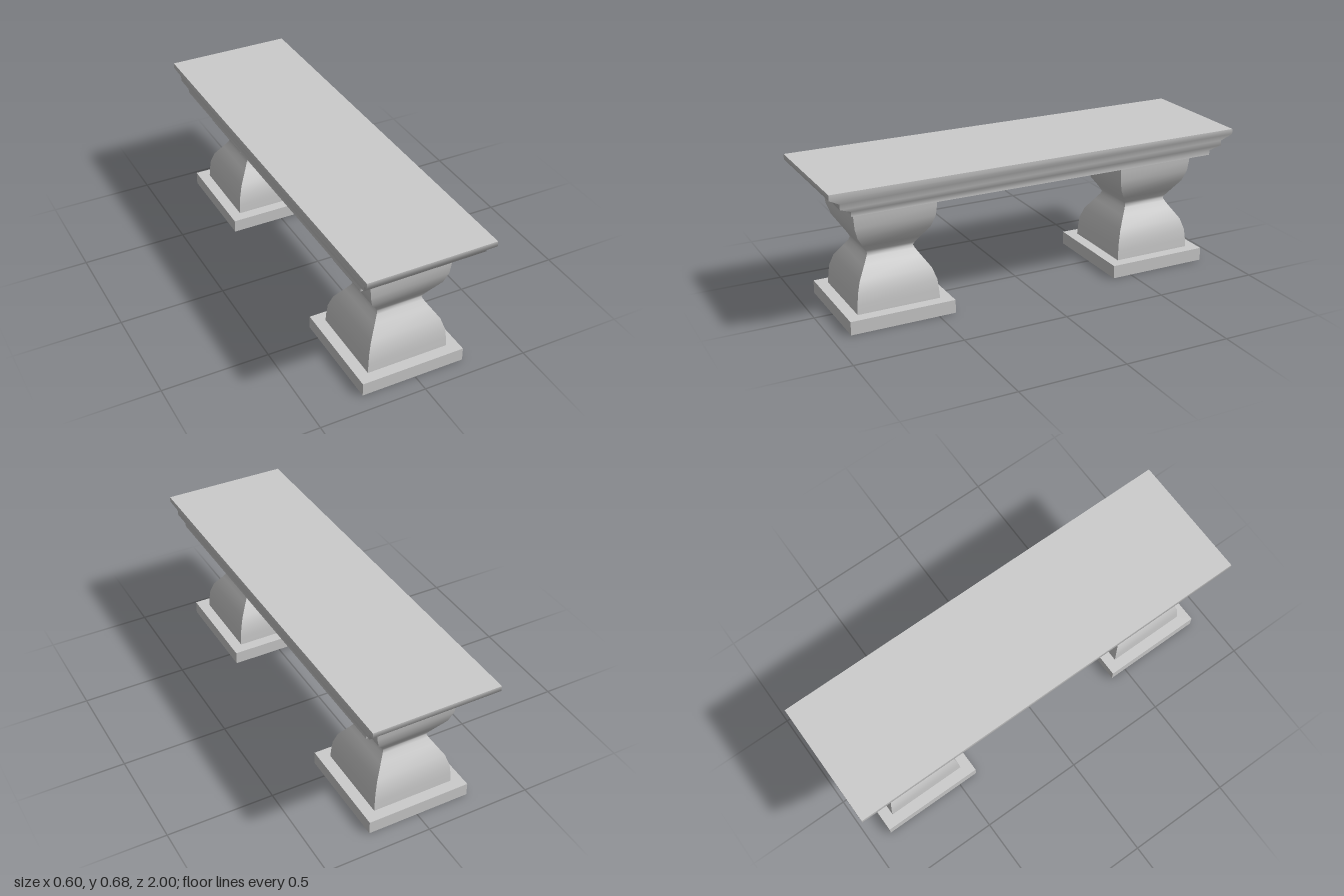
import * as THREE from 'three';

const material = new THREE.MeshStandardMaterial({ color: 0xcccccc });
const CORNERS = [[1, 1], [1, -1], [-1, -1], [-1, 1]];

// Rectangular loft through rows of [y, halfX, halfZ]: smooth up each side, sharp at corners and caps.
function loft(rows) {
  const positions = [];
  const indices = [];
  const addPoint = ([y, hx, hz], [sx, sz]) => positions.push(sx * hx, y, sz * hz);

  CORNERS.forEach((corner, side) => {
    const start = positions.length / 3;
    rows.forEach((row, i) => {
      addPoint(row, corner);
      addPoint(row, CORNERS[(side + 1) % 4]);
      if (i === 0) return;
      const a = start + 2 * (i - 1);
      indices.push(a, a + 1, a + 3, a, a + 3, a + 2);
    });
  });

  // Bottom and top caps
  [[rows[0], false], [rows[rows.length - 1], true]].forEach(([row, up]) => {
    const s = positions.length / 3;
    CORNERS.forEach((corner) => addPoint(row, corner));
    if (up) indices.push(s, s + 1, s + 2, s, s + 2, s + 3);
    else indices.push(s, s + 2, s + 1, s, s + 3, s + 2);
  });

  const geometry = new THREE.BufferGeometry();
  geometry.setAttribute('position', new THREE.Float32BufferAttribute(positions, 3));
  geometry.setIndex(indices);
  geometry.computeVertexNormals();
  return geometry;
}

function addMesh(parent, name, geometry) {
  const mesh = new THREE.Mesh(geometry, material);
  mesh.name = name;
  parent.add(mesh);
  return mesh;
}

// Square waisted pillar on a plinth
function createLeg(name) {
  const leg = new THREE.Group();
  leg.name = name;

  addMesh(leg, 'plinth', new THREE.BoxGeometry(0.494, 0.063, 0.494)).position.y = 0.0315;

  // Lower half of the profile [y, half width], mirrored about the waist
  const waist = 0.305;
  const lower = [[0.057, 0.195], [0.105, 0.192], [0.153, 0.187], [0.206, 0.17], [0.26, 0.134], [0.291, 0.114]];
  const upper = lower.map(([y, h]) => [2 * waist - y, h]).reverse();
  const profile = [...lower, [waist, 0.108], ...upper];
  addMesh(leg, 'pillar', loft(profile.map(([y, h]) => [y, h, h])));
  return leg;
}

export function createModel() {
  const bench = new THREE.Group();
  bench.name = 'bench';

  // Seat slab with a stepped, moulded edge
  addMesh(bench, 'seat', loft([
    [0.553, 0.269, 0.897],
    [0.575, 0.269, 0.897],
    [0.597, 0.285, 0.95],
    [0.621, 0.285, 0.95],
    [0.65, 0.301, 1],
    [0.675, 0.301, 1],
  ]));

  // Two legs, set slightly off the seat's centre line
  [['frontLeg', 0.667], ['backLeg', -0.652]].forEach(([name, z]) => {
    const leg = createLeg(name);
    leg.position.set(-0.009, 0, z);
    bench.add(leg);
  });

  return bench;
}
